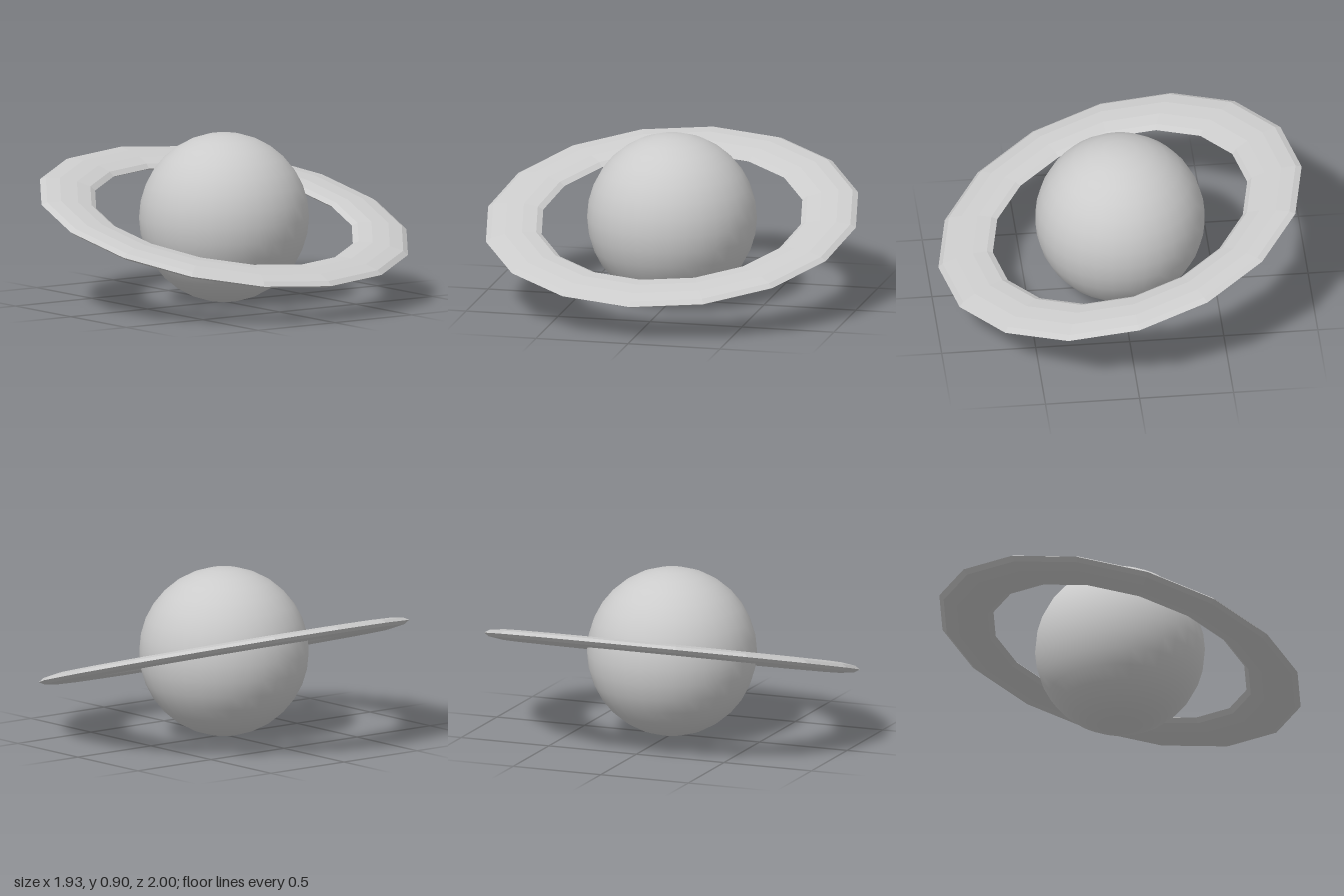
import * as THREE from 'three';

export function createModel() {
  const model = new THREE.Group();

  // Smooth round planet resting on the ground
  const radius = 0.45;
  const planet = new THREE.Mesh(
    new THREE.SphereGeometry(radius, 32, 16),
    new THREE.MeshStandardMaterial({ color: 0xcccccc })
  );
  planet.name = 'planet';
  planet.position.y = radius;
  model.add(planet);

  // Low-poly ring: a torus flattened to a thin band, laid flat, then tilted
  const ringGeometry = new THREE.TorusGeometry(0.85, 0.15, 10, 16);
  ringGeometry.scale(1, 1, 0.2);
  ringGeometry.rotateX(Math.PI / 2);
  const ring = new THREE.Mesh(
    ringGeometry,
    new THREE.MeshStandardMaterial({ color: 0xcccccc, flatShading: true })
  );
  ring.name = 'ring';
  ring.position.y = radius;
  ring.rotation.z = -THREE.MathUtils.degToRad(15);
  model.add(ring);

  return model;
}
